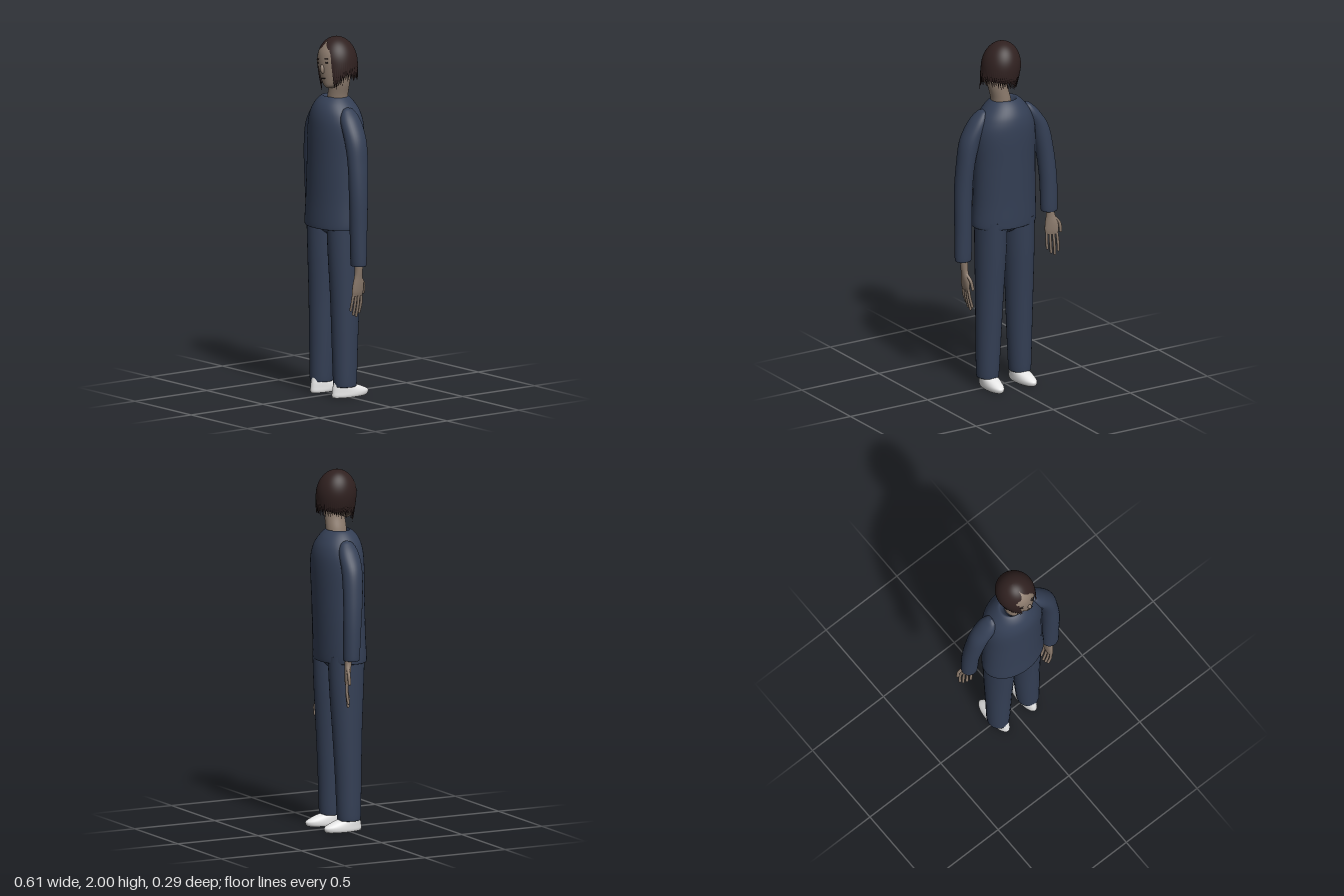
import * as THREE from 'three';

const mat = (name, color) => {
  const m = new THREE.MeshStandardMaterial({ color });
  m.name = name;
  return m;
};

// Smooth closed body through horizontal oval sections, bottom to top: [cx, y, cz, rx, rz]
function loft(sections, rings = 32, sides = 32) {
  const centres = new THREE.CatmullRomCurve3(sections.map(s => new THREE.Vector3(s[0], s[1], s[2])), false, 'catmullrom');
  const radii = new THREE.CatmullRomCurve3(sections.map(s => new THREE.Vector3(s[3], s[4], 0)), false, 'catmullrom');
  const pos = [], idx = [];
  const ring = t => {
    const c = centres.getPoint(t), r = radii.getPoint(t);
    for (let j = 0; j < sides; j++) {
      const a = j / sides * Math.PI * 2;
      pos.push(c.x + Math.cos(a) * r.x, c.y, c.z + Math.sin(a) * r.y);
    }
    return c;
  };
  for (let i = 0; i <= rings; i++) ring(i / rings);
  for (let i = 0; i < rings; i++) for (let j = 0; j < sides; j++) {
    const k = (j + 1) % sides, a = i * sides + j, b = i * sides + k;
    idx.push(a, a + sides, b, b, a + sides, b + sides);
  }
  // End caps with their own rim, so the edge stays crisp
  for (const t of [0, 1]) {
    const start = pos.length / 3, c = ring(t), mid = pos.length / 3;
    pos.push(c.x, c.y, c.z);
    for (let j = 0; j < sides; j++) {
      const a = start + j, b = start + (j + 1) % sides;
      if (t) idx.push(mid, b, a); else idx.push(mid, a, b);
    }
  }
  const g = new THREE.BufferGeometry();
  g.setAttribute('position', new THREE.Float32BufferAttribute(pos, 3));
  g.setIndex(idx);
  g.computeVertexNormals();
  return g;
}

// Hair shell: dome over straight sides, a wedge opening at the face, a ragged lower edge
function hairGeometry() {
  const cols = 150, rows = 28, pos = [], idx = [];
  let seed = 7;
  const rand = () => (seed = (seed * 16807) % 2147483647) / 2147483647;
  for (let c = 0; c <= cols; c++) {
    const u = c / cols, edge = Math.min(u, 1 - u);
    const spike = c % 3 === 1 ? 0.02 + 0.025 * rand() : 0;
    const bottom = -0.075 - spike - 0.05 * Math.max(0, 1 - edge / 0.14);
    for (let r = 0; r <= rows; r++) {
      const v = r / rows;
      let y, rad;
      if (v < 0.6) {
        const p = v / 0.6 * Math.PI / 2;
        y = 0.14 * Math.cos(p);
        rad = Math.sin(p);
      } else {
        const w = (v - 0.6) / 0.4;
        y = bottom * w;
        rad = 1 - 0.1 * w * w;
      }
      const open = 0.52 * THREE.MathUtils.smoothstep(0.13 - y, 0, 0.09);
      const a = 0.1 + open + u * (Math.PI * 2 - 2 * open);
      pos.push(Math.sin(a) * rad * 0.108, y, Math.cos(a) * rad * 0.113);
    }
  }
  for (let c = 0; c < cols; c++) for (let r = 0; r < rows; r++) {
    const a = c * (rows + 1) + r, b = a + rows + 1;
    idx.push(a, a + 1, b, b, a + 1, b + 1);
  }
  const g = new THREE.BufferGeometry();
  g.setAttribute('position', new THREE.Float32BufferAttribute(pos, 3));
  g.setIndex(idx);
  g.computeVertexNormals();
  return g;
}

export function createModel() {
  const model = new THREE.Group();
  model.name = 'standingFigure';
  const cloth = mat('navy cloth', 0x343f55);
  const skin = mat('skin', 0x8c7b6d);
  const hair = mat('dark brown hair', 0x302120);
  hair.side = THREE.DoubleSide;
  const white = mat('white shoe', 0xf0f0f0);
  const dark = mat('dark feature', 0x2a2220);

  const add = (name, geometry, material, parent = model) => {
    const m = new THREE.Mesh(geometry, material);
    m.name = name;
    parent.add(m);
    return m;
  };
  const blob = (name, material, parent, p, s) => {
    const m = add(name, new THREE.SphereGeometry(1, 20, 14), material, parent);
    m.position.set(...p);
    m.scale.set(...s);
    return m;
  };

  // Sweater with a sunken collar
  add('sweater', loft([
    [0, 0.945, 0.01, 0.18, 0.125], [0, 0.955, 0.01, 0.193, 0.132], [0, 1.1, 0.005, 0.187, 0.132],
    [0.003, 1.3, 0, 0.183, 0.135], [0.005, 1.48, -0.004, 0.181, 0.138], [0.003, 1.57, -0.003, 0.158, 0.13],
    [0, 1.63, 0, 0.118, 0.105], [0, 1.668, 0, 0.078, 0.068], [0.01, 1.655, 0, 0.068, 0.06], [0.02, 1.62, 0, 0.06, 0.055],
  ], 60, 44), cloth);

  // Sleeves, the left one hanging lower
  add('leftSleeve', loft([
    [0.25, 0.762, 0.03, 0.04, 0.036], [0.25, 0.772, 0.03, 0.048, 0.042], [0.25, 0.95, 0.03, 0.049, 0.048],
    [0.25, 1.15, 0.03, 0.05, 0.054], [0.238, 1.32, 0.025, 0.049, 0.06], [0.212, 1.45, 0.022, 0.055, 0.064],
    [0.165, 1.55, 0.018, 0.05, 0.06], [0.14, 1.605, 0.015, 0.025, 0.035], [0.135, 1.62, 0.015, 0.004, 0.005],
  ], 44), cloth);
  add('rightSleeve', loft([
    [-0.253, 0.987, -0.055, 0.04, 0.038], [-0.253, 0.997, -0.055, 0.048, 0.045], [-0.251, 1.17, -0.048, 0.049, 0.05],
    [-0.236, 1.33, -0.036, 0.05, 0.055], [-0.206, 1.47, -0.026, 0.054, 0.058], [-0.16, 1.56, -0.02, 0.046, 0.056],
    [-0.135, 1.61, -0.018, 0.025, 0.035], [-0.13, 1.627, -0.018, 0.004, 0.005],
  ], 44), cloth);

  // Trousers and shoes, toes towards -z
  add('seat', new THREE.SphereGeometry(1, 28, 18), cloth).scale.set(0.08, 0.085, 0.1);
  model.children.at(-1).position.set(0, 0.975, 0);
  for (const [side, s] of [['left', 1], ['right', -1]]) {
    add(side + 'TrouserLeg', loft([
      [0.104 * s, 0.068, 0.01, 0.054, 0.058], [0.104 * s, 0.08, 0.01, 0.062, 0.067], [0.1 * s, 0.3, 0.008, 0.07, 0.074],
      [0.096 * s, 0.55, 0.004, 0.077, 0.084], [0.091 * s, 0.78, 0.002, 0.084, 0.097], [0.088 * s, 0.98, 0.002, 0.087, 0.106],
    ]), cloth);
    const shoe = add(side + 'Shoe', loft([
      [0, 0, -0.022, 0.042, 0.11], [0, 0.012, -0.026, 0.046, 0.117], [0, 0.03, -0.026, 0.046, 0.115],
      [0, 0.052, -0.006, 0.043, 0.091], [0, 0.07, 0.016, 0.037, 0.064], [0, 0.1, 0.02, 0.034, 0.052],
    ]), white);
    shoe.position.x = 0.1 * s;
    shoe.rotation.y = -0.06 * s;
  }

  // Hands: local width along x with the thumb at -x, wrist at the origin
  const hand = (name, p, r) => {
    const g = new THREE.Group();
    g.name = name;
    add('palm', loft([
      [0, -0.165, 0, 0.034, 0.009], [0, -0.14, 0, 0.038, 0.014], [-0.002, -0.1, 0, 0.036, 0.017],
      [0, -0.06, 0, 0.026, 0.018], [0, -0.03, 0, 0.023, 0.02], [0, 0.04, 0, 0.025, 0.023],
    ], 20, 20), skin, g);
    const digit = (label, pts, radius) => {
      const path = new THREE.CatmullRomCurve3(pts.map(q => new THREE.Vector3(...q)));
      add(label, new THREE.TubeGeometry(path, 8, radius, 10), skin, g);
      blob(label + 'Tip', skin, g, pts.at(-1), [radius, radius * 1.4, radius]);
    };
    [0.105, 0.125, 0.115, 0.09].forEach((len, i) => {
      const x = -0.027 + i * 0.018;
      digit('finger', [[x, -0.15, 0], [x * 1.15, -0.16 - len / 2, 0.004], [x * 1.1, -0.155 - len, 0.014]], 0.0078);
    });
    digit('thumb', [[-0.02, -0.07, 0], [-0.046, -0.105, 0.008], [-0.05, -0.15, 0.014]], 0.009);
    g.position.set(...p);
    g.rotation.set(...r);
    model.add(g);
  };
  hand('leftHand', [0.248, 0.75, 0.026], [-0.08, -Math.PI / 2, 0, 'YXZ']);
  hand('rightHand', [-0.25, 1.012, -0.07], [0.06, -0.5, -0.06, 'YXZ']);

  // Neck leaning towards +x
  add('neck', loft([
    [0.018, 1.58, 0, 0.058, 0.058], [0.026, 1.67, 0, 0.055, 0.058], [0.045, 1.75, 0, 0.054, 0.057], [0.05, 1.84, 0, 0.06, 0.06],
  ]), skin);

  // Tilted head
  const head = new THREE.Group();
  head.name = 'head';
  head.position.set(0.024, 1.861, 0);
  head.rotation.z = 0.16;
  model.add(head);
  add('face', loft([
    [0.002, -0.14, 0.06, 0.012, 0.018], [0.002, -0.127, 0.05, 0.038, 0.048], [0, -0.09, 0.025, 0.068, 0.082],
    [0, -0.04, 0.012, 0.088, 0.1], [0, 0.02, 0.01, 0.096, 0.102], [0, 0.07, 0.006, 0.086, 0.094],
    [0, 0.11, 0, 0.056, 0.064], [0, 0.131, 0, 0.01, 0.012],
  ]), skin, head);
  add('hair', hairGeometry(), hair, head);
  blob('nose', skin, head, [0.006, -0.03, 0.112], [0.012, 0.026, 0.014]);
  for (const s of [-1, 1]) {
    blob('eye', dark, head, [0.006 + 0.033 * s, 0.004, 0.105], [0.013, 0.005, 0.004]);
    blob('eyebrow', hair, head, [0.006 + 0.034 * s, 0.024, 0.105], [0.018, 0.0035, 0.004]);
  }
  blob('mouth', dark, head, [0.004, -0.082, 0.11], [0.02, 0.003, 0.004]);
  return model;
}
